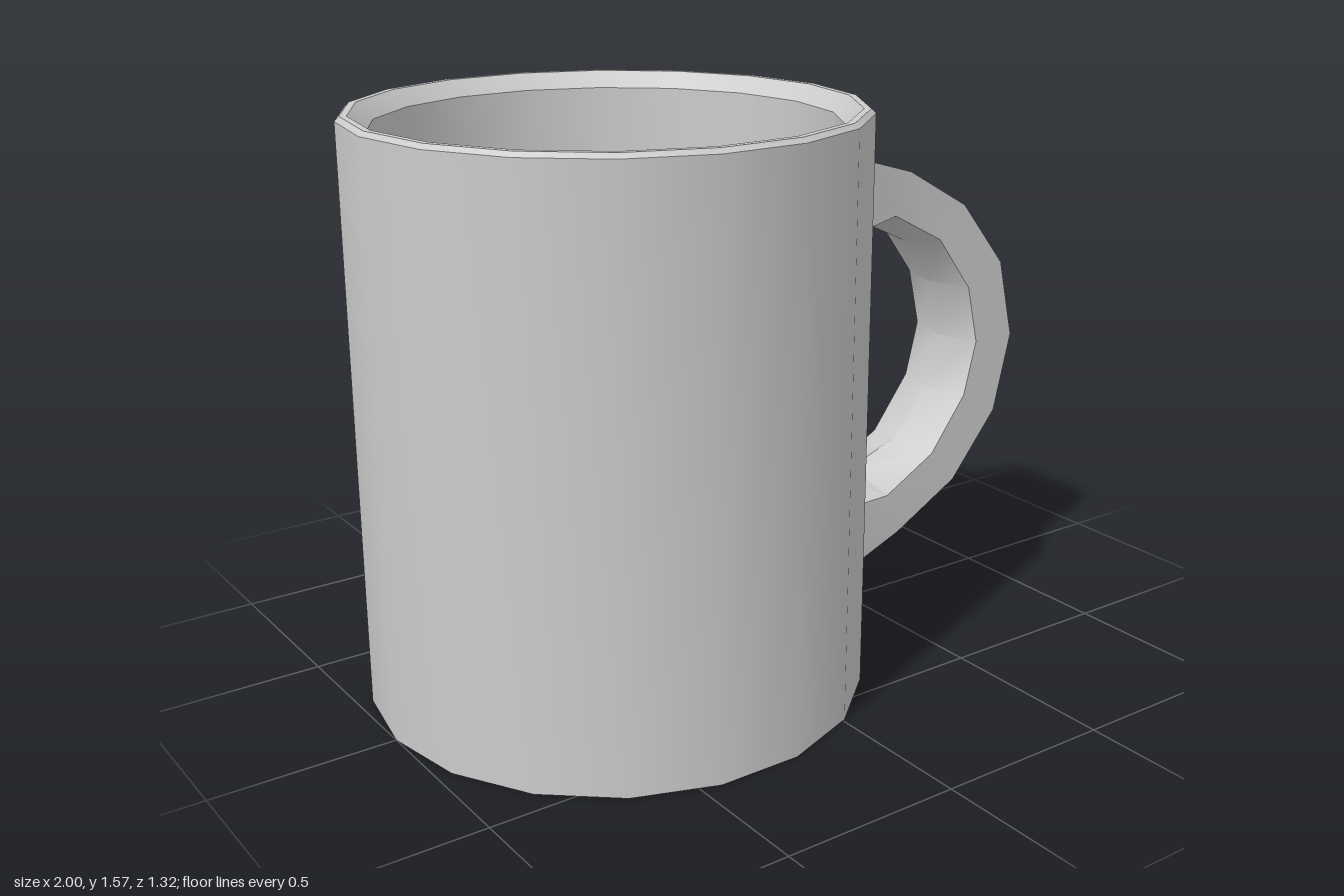
import * as THREE from 'three';
import { toCreasedNormals } from 'three/addons/utils/BufferGeometryUtils.js';

const material = new THREE.MeshStandardMaterial({ color: 0xcccccc });

function addMesh(group, geometry, name, crease) {
  const mesh = new THREE.Mesh(toCreasedNormals(geometry, crease), material);
  mesh.name = name;
  group.add(mesh);
  return mesh;
}

// Hollow 18-sided cup, turned from base up the outside and down the inside
function cupGeometry() {
  const profile = [
    [0, 0], [0.672, 0], [0.672, 1.558], [0.66, 1.57], [0.642, 1.57],
    [0.6, 1.527], [0.6, 0.07], [0, 0.07],
  ].map(([r, y]) => new THREE.Vector2(r, y));
  return new THREE.LatheGeometry(profile, 18, Math.PI / 2);
}

// Handle: six-cornered cross-sections joined along an arc, with a ridge inside
function handleGeometry() {
  // Corner paths in x, y from the upper root to the lower root
  const outer = [[0.31, 1.4], [0.58, 1.32], [0.79, 1.2], [0.945, 1.01], [1, 0.78],
    [0.945, 0.55], [0.79, 0.36], [0.575, 0.24], [0.31, 0.17]];
  const inner = [[0.31, 1.17], [0.53, 1.2], [0.7, 1.11], [0.82, 0.95], [0.86, 0.78],
    [0.82, 0.62], [0.7, 0.46], [0.53, 0.365], [0.31, 0.38]];
  const ridge = [[0.34, 1.17], [0.5, 1.17], [0.67, 1.09], [0.78, 0.95], [0.82, 0.78],
    [0.78, 0.62], [0.67, 0.48], [0.5, 0.42], [0.34, 0.455]];
  const spine = outer.map((p) => [...p]);
  spine[0] = [0.34, 1.393];
  spine[8] = [0.34, 0.145];

  const positions = [];
  const indices = [];
  const n = outer.length;
  for (let i = 0; i < n; i++) {
    const w = i === 0 || i === n - 1 ? 0.17 : 0.13; // flared roots
    positions.push(
      ...outer[i], w, ...spine[i], 0, ...outer[i], -w,
      ...inner[i], -w, ...ridge[i], 0, ...inner[i], w,
    );
  }
  for (let i = 0; i < n - 1; i++) {
    for (let k = 0; k < 6; k++) {
      const a = i * 6 + k;
      const b = i * 6 + ((k + 1) % 6);
      indices.push(a, a + 6, b, b, a + 6, b + 6);
    }
  }
  const geometry = new THREE.BufferGeometry();
  geometry.setAttribute('position', new THREE.Float32BufferAttribute(positions, 3));
  geometry.setIndex(indices);
  return geometry;
}

export function createModel() {
  const mug = new THREE.Group();
  mug.name = 'mug';
  addMesh(mug, cupGeometry(), 'cup', 0.6).position.x = -0.328;
  addMesh(mug, handleGeometry(), 'handle', 0.6);
  return mug;
}
